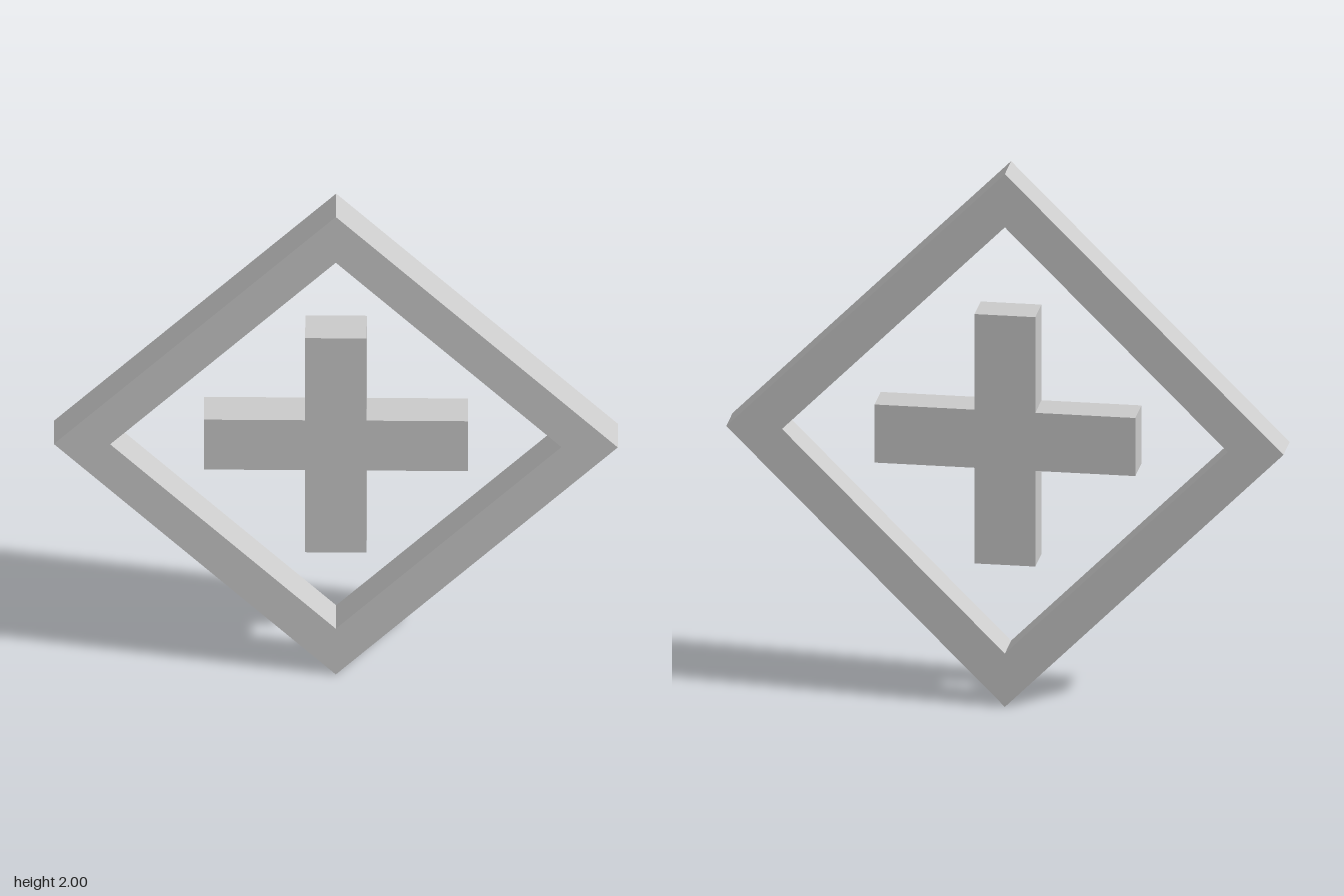
import * as THREE from 'three';

const material = new THREE.MeshStandardMaterial({ color: 0xcccccc, flatShading: true });

// Four corners of a square standing on its point
const diamond = (r) => [[r, 0], [0, r], [-r, 0], [0, -r]].map(([x, y]) => new THREE.Vector2(x, y));

// Plate cut from a shape, centred on z = 0 and raised to y = 1
function plate(name, shape, depth) {
  const geometry = new THREE.ExtrudeGeometry(shape, { depth, bevelEnabled: false });
  geometry.translate(0, 1, -depth / 2);
  const mesh = new THREE.Mesh(geometry, material);
  mesh.name = name;
  return mesh;
}

export function createModel() {
  const group = new THREE.Group();
  group.name = 'diamondWithCross';

  // Diamond frame with an open middle
  const frame = new THREE.Shape(diamond(1));
  frame.holes.push(new THREE.Path(diamond(0.8)));
  group.add(plate('diamondFrame', frame, 0.142));

  // Free-standing cross: one arm outline turned four times
  const arm = 0.468, half = 0.109;
  const points = [];
  for (let i = 0; i < 4; i++) {
    for (const [x, y] of [[half, -half], [arm, -half], [arm, half]]) {
      points.push(new THREE.Vector2(x, y).rotateAround(new THREE.Vector2(), i * Math.PI / 2));
    }
  }
  group.add(plate('cross', new THREE.Shape(points), 0.138));

  return group;
}
